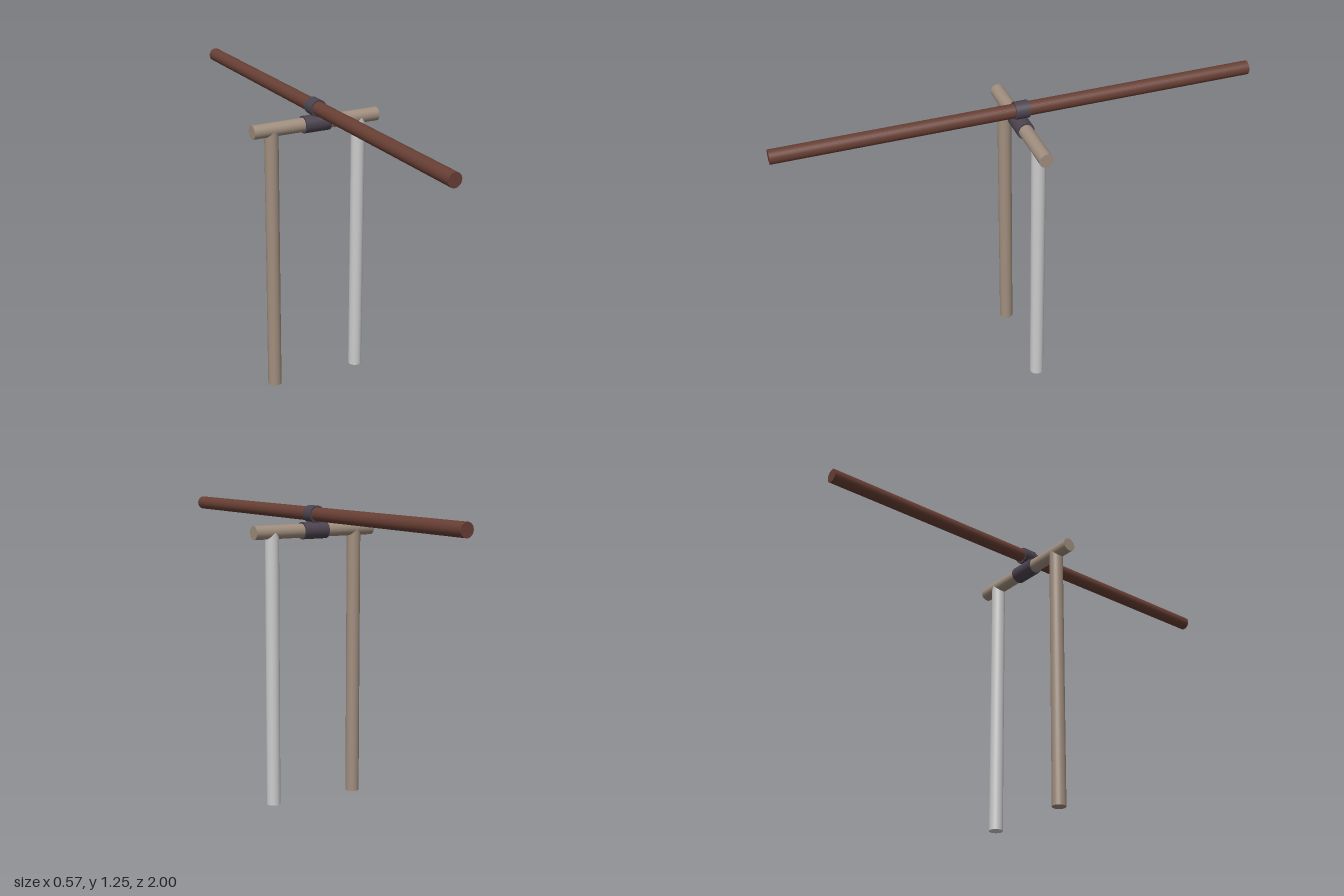
import * as THREE from 'three';

const material = (color) => new THREE.MeshStandardMaterial({ color });

export function createModel() {
  const model = new THREE.Group();
  const grey = material(0xcccccc);
  const paleWood = material(0xa08e7e);
  const darkWood = material(0x683f34);
  const binding = material(0x4c4450);

  // Round pole centred at (x, y, 0), lying along the given axis
  function pole(name, radius, length, axis, x, y, mat) {
    const geometry = new THREE.CylinderGeometry(radius, radius, length, 32);
    if (axis === 'x') geometry.rotateZ(Math.PI / 2);
    if (axis === 'z') geometry.rotateX(Math.PI / 2);
    const mesh = new THREE.Mesh(geometry, mat);
    mesh.name = name;
    mesh.position.set(x, y, 0);
    model.add(mesh);
  }

  const r = 0.029;
  const barY = 1.149;
  const beamY = 1.216;

  // Upright posts, ending inside the crossbar
  pole('leftPost', r, barY, 'y', 0.2, barY / 2, grey);
  pole('rightPost', r, barY, 'y', -0.2, barY / 2, paleWood);

  // Crossbar and its sleeve
  pole('crossbar', r, 0.572, 'x', 0, barY, paleWood);
  pole('crossbarSleeve', 0.036, 0.115, 'x', 0, barY, binding);

  // Long beam resting across the top, with its sleeve
  pole('longBeam', r, 2, 'z', 0, beamY, darkWood);
  pole('beamSleeve', 0.036, 0.058, 'z', 0, beamY, binding);

  return model;
}
